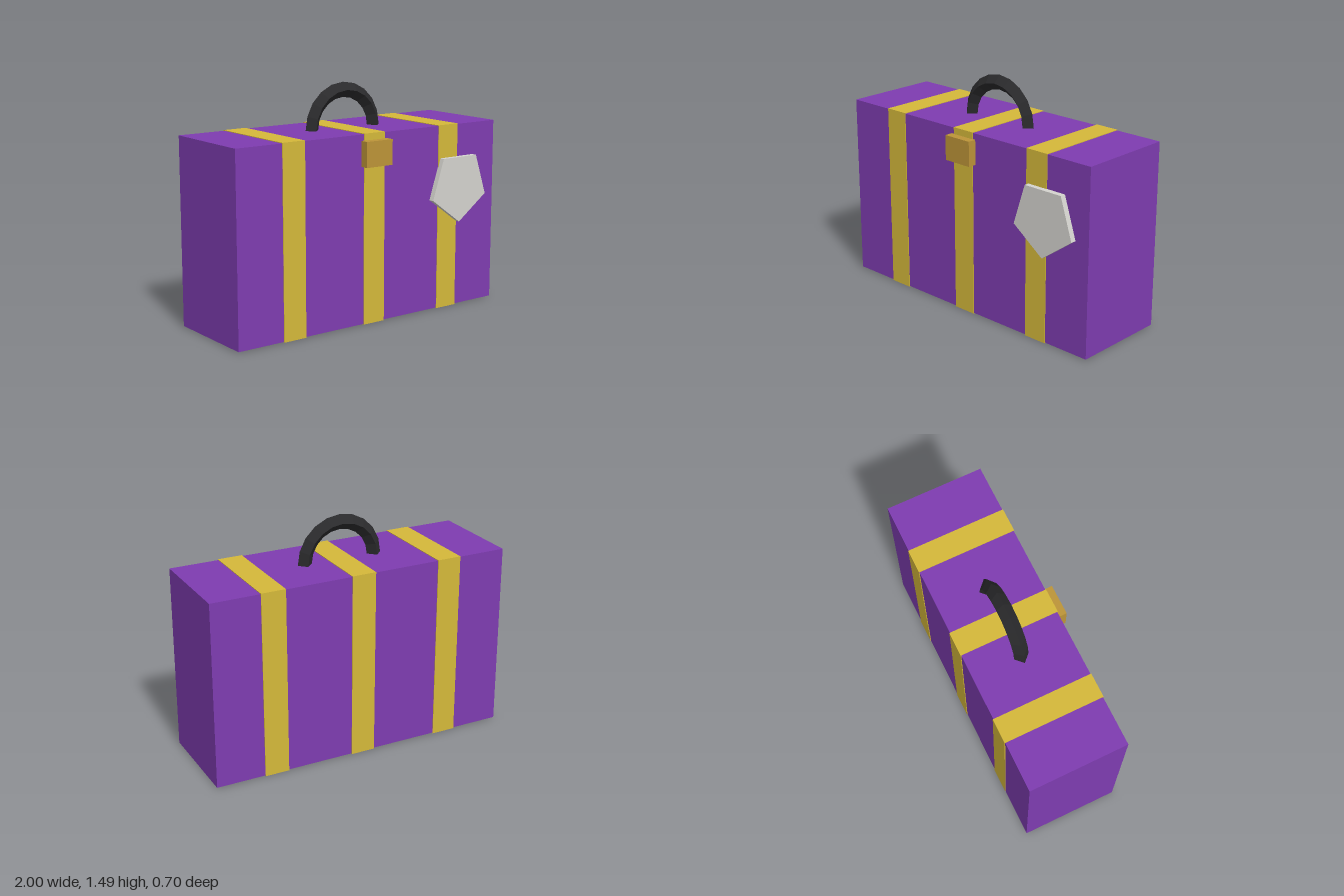
import * as THREE from 'three';

const MID_Z = -0.026; // centre of the case in depth

function part(group, name, geometry, color, x, y, z) {
  const material = new THREE.MeshStandardMaterial({ color, flatShading: true });
  const mesh = new THREE.Mesh(geometry, material);
  mesh.name = name;
  mesh.position.set(x, y, z);
  group.add(mesh);
  return mesh;
}

export function createModel() {
  const group = new THREE.Group();
  group.name = 'suitcase';

  // Case body
  part(group, 'caseBody', new THREE.BoxGeometry(2, 1.2, 0.64), 0x7e3cb0, 0, 0.604, MID_Z);

  // Three straps wrapping all the way round, just proud of the case
  ['rightStrap', 'middleStrap', 'leftStrap'].forEach((name, i) => {
    part(group, name, new THREE.BoxGeometry(0.16, 1.208, 0.648), 0xd4b83a, (i - 1) * 0.6, 0.604, MID_Z);
  });

  // Half-ring handle with a diamond section
  const handle = new THREE.TorusGeometry(0.24, 0.048, 4, 10, Math.PI);
  part(group, 'handle', handle, 0x2a2a2c, 0, 1.204, MID_Z);

  // Clasp on the middle strap
  part(group, 'clasp', new THREE.BoxGeometry(0.2, 0.16, 0.08), 0xbc9438, 0, 1.085, 0.31);

  // Five-sided tag lying on the front, point down
  const tag = new THREE.CylinderGeometry(0.236, 0.236, 0.04, 5).rotateX(Math.PI / 2);
  part(group, 'tag', tag, 0xd4d3ce, 0.677, 0.803, 0.311);

  return group;
}
